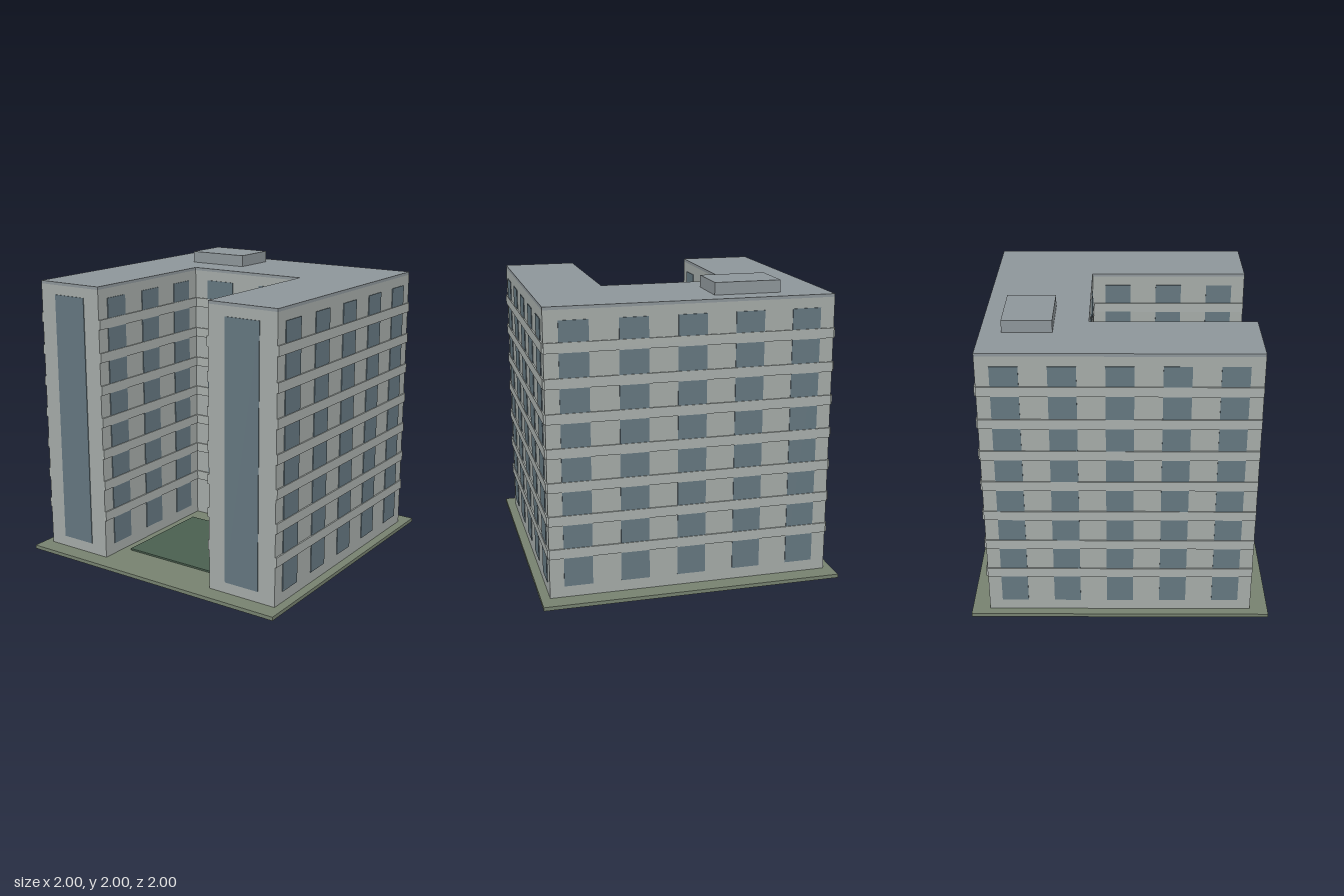
import * as THREE from 'three';

const mat = (color) => new THREE.MeshStandardMaterial({ color });
const wallMat = mat(0xa4aaa7);
const bandMat = mat(0xa8aeab);
const roofMat = mat(0x8d9599);
const glassMat = mat(0x64767f);
const groundMat = mat(0x76816f);
const lawnMat = mat(0x4a5f4f);

// Main dimensions
const W = 0.94, D = 0.88;          // half width and half depth of the block
const CX = 0.44, CZ = -0.2;        // courtyard half width and back wall
const BASE = 0.025, EAVES = 1.9, ROOF = 1.92;

function box(name, material, w, h, d, x, y, z) {
  const mesh = new THREE.Mesh(new THREE.BoxGeometry(w, h, d), material);
  mesh.name = name;
  mesh.position.set(x, y, z);
  return mesh;
}

// U-shaped slab between two heights
function uSlab(name, material, y0, y1) {
  const plan = [[-W, -D], [-CX, -D], [-CX, -CZ], [CX, -CZ], [CX, -D], [W, -D], [W, D], [-W, D]];
  const shape = new THREE.Shape(plan.map(([x, y]) => new THREE.Vector2(x, y)));
  const geometry = new THREE.ExtrudeGeometry(shape, { depth: y1 - y0, bevelEnabled: false });
  geometry.rotateX(-Math.PI / 2);
  const mesh = new THREE.Mesh(geometry, material);
  mesh.name = name;
  mesh.position.y = y0;
  return mesh;
}

// Tall window strips crossed by floor bands; local +z points out of the wall
function facade(name, length, bays, x, z, angle, banded = true) {
  const group = new THREE.Group();
  group.name = name;
  const bay = length / bays;
  for (let i = 0; i < bays; i++) {
    const cx = (i + 0.5) * bay - length / 2;
    group.add(box('windowStrip', glassMat, bay / 2, 1.735, 0.01, cx, 0.9675, 0));
  }
  if (banded) {
    for (let i = 0; i < 7; i++) {
      group.add(box('floorBand', bandMat, length, 0.065, 0.02, 0, 0.3275 + i * 0.2233, 0));
    }
  }
  group.position.set(x, 0, z);
  group.rotation.y = angle;
  return group;
}

export function createModel() {
  const model = new THREE.Group();
  model.name = 'apartmentBlock';

  // Plot and courtyard lawn
  model.add(box('ground', groundMat, 2, BASE, 2, 0, BASE / 2, 0));
  model.add(box('lawn', lawnMat, 0.76, 0.012, 0.74, 0, BASE + 0.006, 0.315));

  // Block, roof and rooftop plant room
  model.add(uSlab('walls', wallMat, BASE, EAVES));
  model.add(uSlab('roof', roofMat, EAVES, ROOF));
  model.add(box('plantRoom', roofMat, 0.44, 2 - ROOF, 0.32, -0.4, (2 + ROOF) / 2, -0.583));

  // Back of the block and back of the courtyard
  model.add(facade('backFacade', 2 * W, 5, 0, -D, Math.PI));
  model.add(facade('courtyardBackFacade', 2 * CX, 2, 0, CZ, 0));

  // Outer side, courtyard side and front end of each wing
  for (const [side, s] of [['left', 1], ['right', -1]]) {
    const turn = s * Math.PI / 2;
    model.add(facade(side + 'OuterFacade', 2 * D, 5, s * W, 0, turn));
    model.add(facade(side + 'CourtyardFacade', D - CZ, 3, s * CX, (D + CZ) / 2, -turn));
    model.add(facade(side + 'WingFront', W - CX, 1, s * (W + CX) / 2, D, 0, false));
  }
  return model;
}
